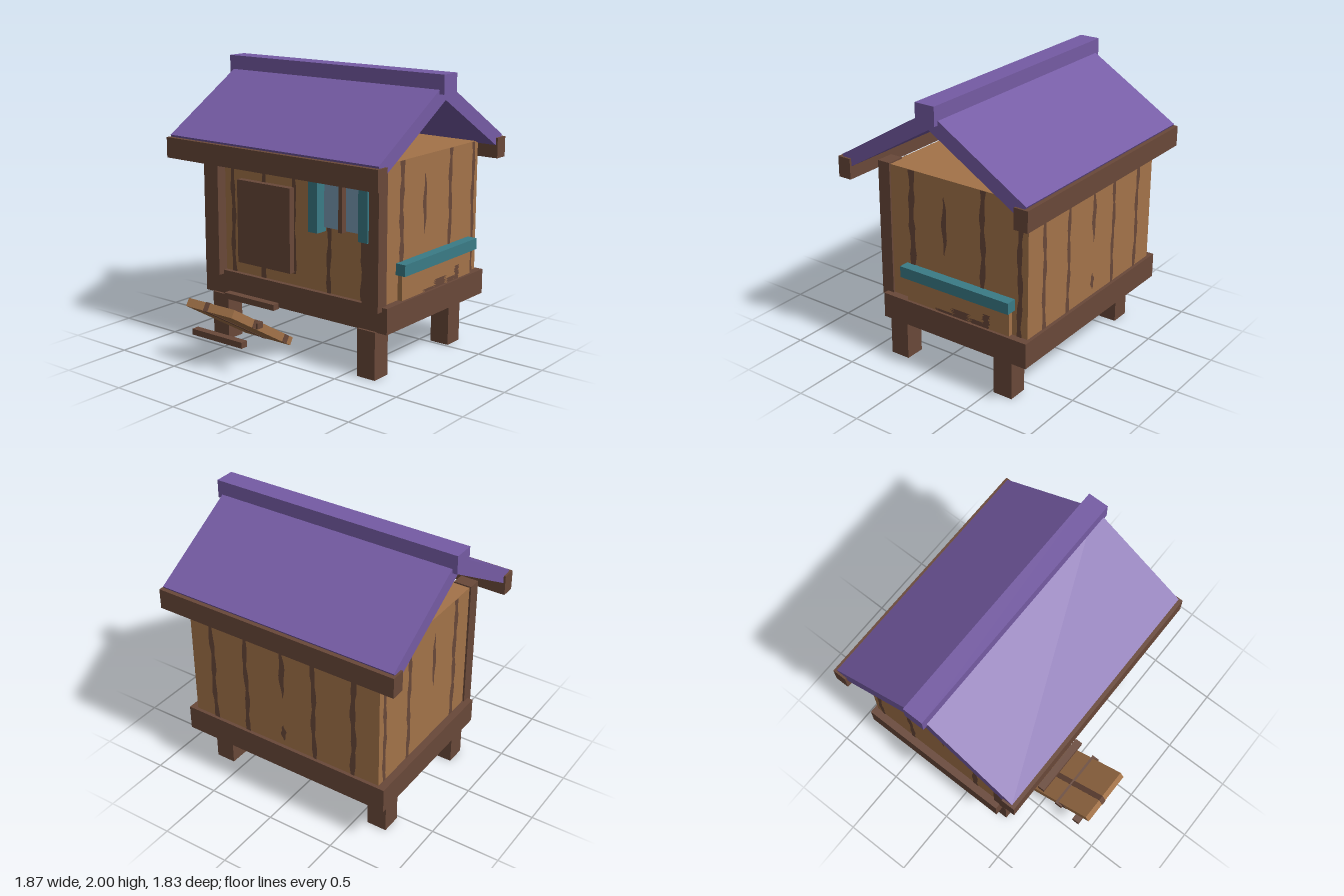
import * as THREE from 'three';

const mat = (name, color, side = THREE.FrontSide) => {
  const m = new THREE.MeshStandardMaterial({ color, side });
  m.name = name;
  return m;
};

export function createModel() {
  const wood = mat('plank wood', 0xa37349);
  const brown = mat('dark wood', 0x694839);
  const grain = mat('wood grain', 0x694839, THREE.DoubleSide);
  const purple = mat('purple roof', 0x755ba4);
  const teal = mat('teal trim', 0x3a7b86);
  const glass = mat('window glass', 0x7a9bb4);

  const model = new THREE.Group();
  model.name = 'coop';

  // Box given by its limits on each axis
  const box = (name, m, [x0, x1], [y0, y1], [z0, z1], parent = model) => {
    const mesh = new THREE.Mesh(new THREE.BoxGeometry(x1 - x0, y1 - y0, z1 - z0), m);
    mesh.position.set((x0 + x1) / 2, (y0 + y1) / 2, (z0 + z1) / 2);
    mesh.name = name;
    parent.add(mesh);
    return mesh;
  };

  // Platform and legs
  box('platform', brown, [-0.81, 0.81], [0.33, 0.51], [-0.835, 0.345]);
  for (const s of [-1, 1]) {
    for (const z of [0.29, -0.595]) {
      box('leg', brown, [s * 0.655 - 0.073, s * 0.655 + 0.073], [0, 0.335], [z - 0.073, z + 0.073]);
    }
    box('cornerPost', brown, [s * 0.703 - 0.065, s * 0.703 + 0.065], [0.48, 1.46], [0.295, 0.39]);
  }

  // House body
  box('body', wood, [-0.755, 0.755], [0.5, 1.45], [-0.81, 0.31]);

  // Door and window
  box('door', brown, [-0.48, 0], [0.6, 1.2], [0.3, 0.36]);
  box('windowPane', glass, [0.27, 0.62], [0.97, 1.28], [0.3, 0.33]);
  box('windowBar', brown, [0.43, 0.46], [0.965, 1.29], [0.3, 0.375]);
  box('leftShutter', teal, [0.615, 0.69], [0.94, 1.32], [0.3, 0.405]);
  box('rightShutter', teal, [0.2, 0.277], [0.94, 1.32], [0.3, 0.405]);

  // Side hatch under its teal ledge
  box('sideHatch', wood, [0.74, 0.79], [0.5, 0.695], [-0.69, 0.15]);
  box('sideLedge', teal, [0.74, 0.83], [0.69, 0.77], [-0.71, 0.175]);

  // Grain streak with wavy edges; tapered streaks come to a point at both ends
  const streak = (u, w, y0, y1, taper = false) => {
    const left = [], right = [], n = 14;
    for (let i = 0; i <= n; i++) {
      const t = i / n, y = y0 + (y1 - y0) * t;
      const half = (w / 2) * (taper ? Math.sin(Math.PI * t) : 1 + 0.3 * Math.sin(i * 2.1 + u * 20));
      const drift = 0.005 * Math.sin(i * 0.9 + u * 30);
      left.push(new THREE.Vector2(u + drift - half, y));
      right.unshift(new THREE.Vector2(u + drift + half, y));
    }
    return new THREE.Shape([...left, ...right]);
  };
  const addGrain = (name, turn, x, z, streaks) => {
    const mesh = new THREE.Mesh(new THREE.ShapeGeometry(streaks.map(s => streak(...s))), grain);
    mesh.rotation.y = turn;
    mesh.position.set(x, 0, z);
    mesh.name = name;
    model.add(mesh);
  };
  addGrain('frontGrain', 0, 0, 0.314, [
    [-0.56, 0.036, 0.51, 1.45], [-0.275, 0.038, 0.51, 1.45], [0, 0.03, 0.59, 1.45],
    [0.305, 0.034, 0.51, 1.45], [0.59, 0.036, 0.51, 1.45]]);
  addGrain('backGrain', Math.PI, 0, -0.814, [
    [-0.58, 0.036, 0.51, 1.45], [-0.3, 0.034, 0.51, 1.45], [0, 0.045, 0.9, 1.32, true],
    [0, 0.04, 0.55, 0.68, true], [0.25, 0.034, 0.51, 1.45], [0.56, 0.038, 0.51, 1.45]]);
  for (const s of [-1, 1]) {
    addGrain('sideGrain', s * Math.PI / 2, s * 0.759, 0, [
      [s * -0.12, 0.045, 0.51, 1.45], [s * 0.15, 0.04, 0.9, 1.34, true],
      [s * 0.46, 0.038, 0.51, 1.45], [s * 0.75, 0.035, 0.51, 1.45]]);
  }
  // Knots along the foot of the side hatch
  addGrain('hatchKnots', Math.PI / 2, 0.794, 0, [
    [0.3, 0.13, 0.512, 0.57], [0.44, 0.11, 0.512, 0.545], [0.51, 0.05, 0.512, 0.61], [0.17, 0.14, 0.512, 0.53]]);

  // Roof: a chevron profile run along the house
  const chevron = new THREE.Shape([
    [-0.735, 1.5], [-0.685, 1.415], [0, 1.825], [0.685, 1.415], [0.735, 1.5], [0, 1.945],
  ].map(p => new THREE.Vector2(...p)));
  const roofGeo = new THREE.ExtrudeGeometry(chevron, { depth: 1.8, bevelEnabled: false });
  roofGeo.translate(0, 0, -0.9).rotateY(-Math.PI / 2);
  const roof = new THREE.Mesh(roofGeo, purple);
  roof.position.z = -0.155;
  roof.name = 'roof';
  model.add(roof);
  box('ridgeBeam', purple, [-0.935, 0.935], [1.87, 2], [-0.23, -0.08]);
  box('frontEaveBeam', brown, [-0.915, 0.915], [1.34, 1.485], [0.505, 0.605]);
  box('backEaveBeam', brown, [-0.915, 0.915], [1.34, 1.485], [-0.912, -0.81]);

  // Tilted ramp with a dark grain band wrapped around it
  const ramp = new THREE.Group();
  ramp.name = 'ramp';
  ramp.position.set(-0.245, 0.266, 0.603);
  ramp.rotation.x = -THREE.MathUtils.degToRad(31);
  model.add(ramp);
  box('rampBoard', wood, [-0.21, 0.21], [-0.029, 0.029], [-0.345, 0.345], ramp);
  box('rampGrain', brown, [-0.05, -0.01], [-0.032, 0.032], [-0.348, 0.348], ramp);
  for (const z of [0.09, -0.27]) {
    box('rampEdgeGrain', brown, [-0.213, 0.213], [-0.0285, 0.0285], [z - 0.025, z + 0.025], ramp);
  }

  // Loose rungs
  for (const [y, z] of [[0.392, 0.49], [0.302, 0.652], [0.212, 0.815]]) {
    box('rung', brown, [-0.472, -0.016], [y - 0.021, y + 0.021], [z - 0.028, z + 0.028]);
  }
  return model;
}
